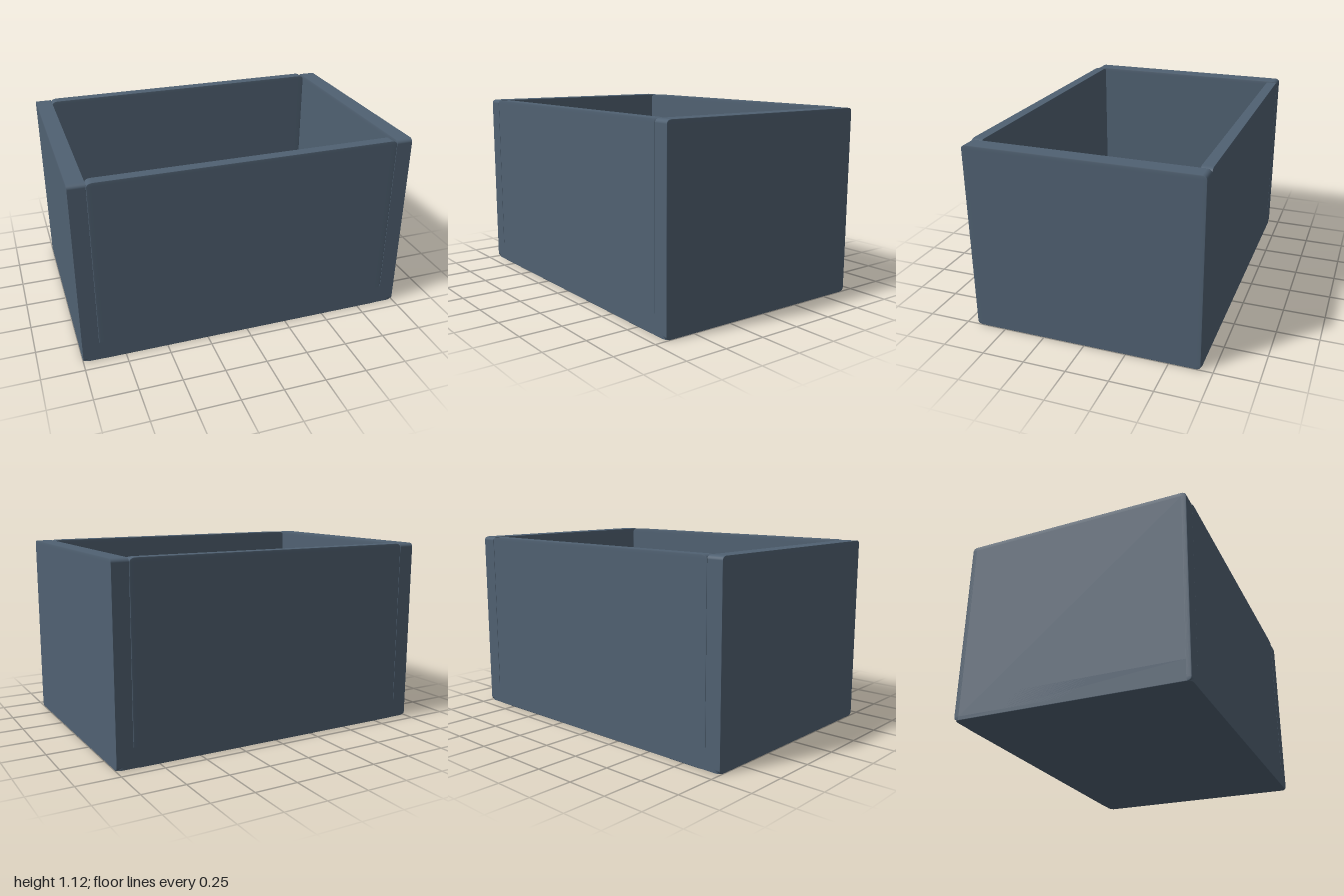
import * as THREE from 'three';
import { RoundedBoxGeometry } from 'three/addons/geometries/RoundedBoxGeometry.js';

export function createModel() {
  const group = new THREE.Group();
  const slate = new THREE.MeshStandardMaterial({ color: 0x506172 });
  slate.name = 'slateBlue';

  // One softly bevelled unit block, stretched into every panel
  const block = new RoundedBoxGeometry(1, 1, 1, 3, 0.02);
  const panel = (name, size, position) => {
    const mesh = new THREE.Mesh(block, slate);
    mesh.name = name;
    mesh.scale.set(...size);
    mesh.position.set(...position);
    group.add(mesh);
  };

  const W = 2, H = 1.12, D = 1.36; // outer size
  const sideT = 0.1, wallT = 0.065, floorT = 0.12; // thicknesses

  panel('floor', [W, floorT, D], [0, floorT / 2, 0]);

  // Thick end panels, with the long walls fitted between them
  for (const s of [1, -1]) {
    panel(s > 0 ? 'leftSide' : 'rightSide', [sideT, H, D], [s * (W - sideT) / 2, H / 2, 0]);
    panel(s > 0 ? 'frontWall' : 'backWall', [W - 2 * sideT, H, wallT], [0, H / 2, s * (D - wallT) / 2]);
  }
  return group;
}
